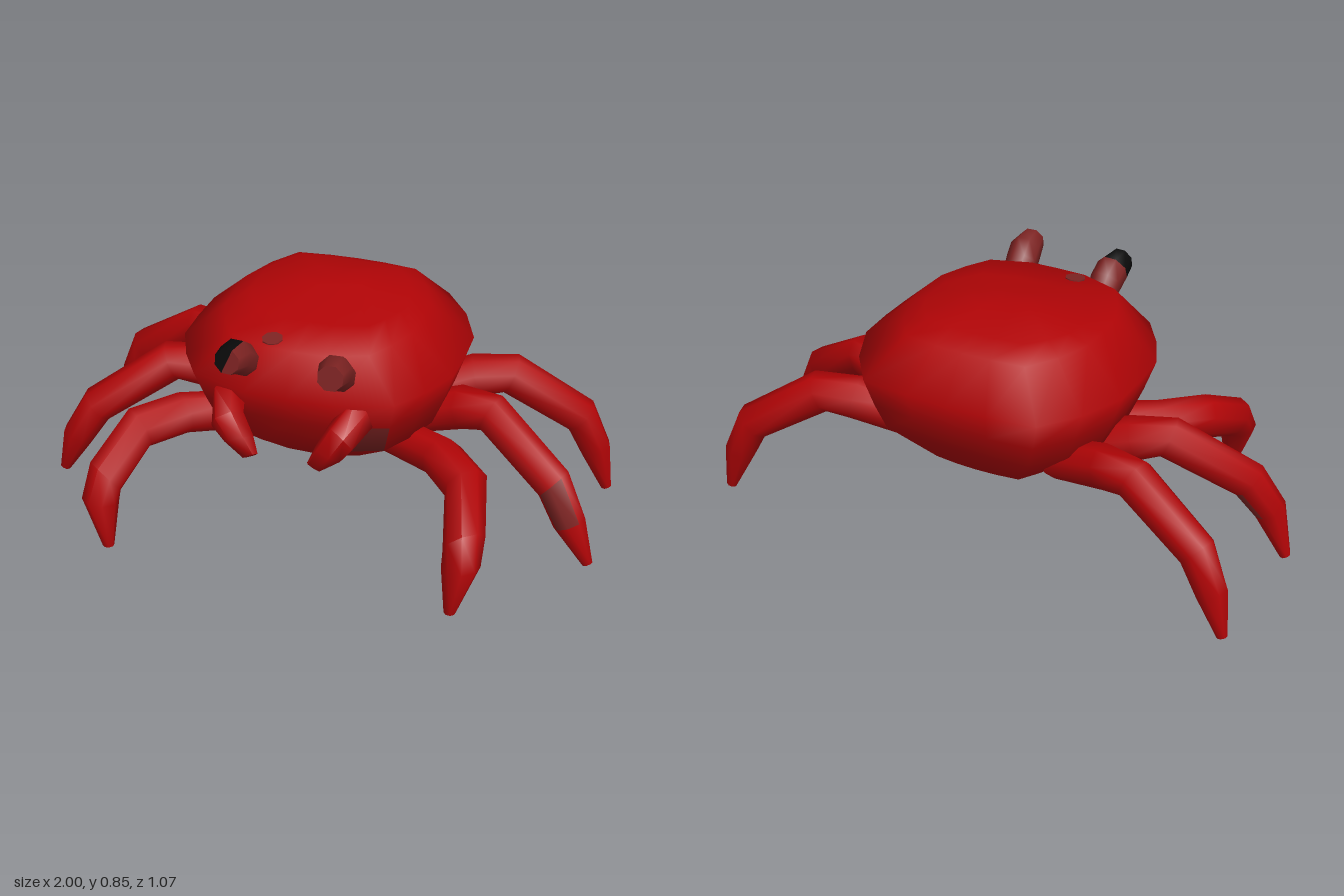
import * as THREE from 'three';
import { toCreasedNormals } from 'three/addons/utils/BufferGeometryUtils.js';

const mat = (name, color) => Object.assign(new THREE.MeshStandardMaterial({ color }), { name });
const V = (x, y, z) => new THREE.Vector3(x, y, z);

// Skin a list of equal-length rings and close both ends.
// patch(i, j) picks faces that take the second material; i = last ring is the end cap.
function loft(rings, crease, patch = () => false) {
  const n = rings[0].length;
  const pts = rings.flat();
  const centre = ring => ring.reduce((a, p) => a.add(p), V(0, 0, 0)).divideScalar(n);
  const last = rings.length - 1;
  const c0 = pts.push(centre(rings[0])) - 1;
  const c1 = pts.push(centre(rings[last])) - 1;
  const main = [], extra = [];
  for (let j = 0; j < n; j++) {
    const k = (j + 1) % n;
    for (let i = 0; i < last; i++) {
      const a = i * n + j, b = i * n + k, c = a + n, d = b + n;
      (patch(i, j) ? extra : main).push(a, b, d, a, d, c);
    }
    main.push(c0, k, j);
    (patch(last, j) ? extra : main).push(c1, last * n + j, last * n + k);
  }
  const index = [...main, ...extra];
  // Turn the faces outward, whichever way the rings run
  let volume = 0;
  for (let t = 0; t < index.length; t += 3) {
    volume += pts[index[t]].dot(pts[index[t + 1]].clone().cross(pts[index[t + 2]]));
  }
  if (volume < 0) {
    for (let t = 0; t < index.length; t += 3) [index[t], index[t + 1]] = [index[t + 1], index[t]];
  }
  const geo = new THREE.BufferGeometry().setFromPoints(pts);
  geo.setIndex(index);
  geo.addGroup(0, main.length, 0);
  if (extra.length) geo.addGroup(main.length, extra.length, 1);
  return toCreasedNormals(geo, crease);
}

// Tapered limb through [x, y, z, radius] stations, mirrored by side
function limb(stations, side, sides = 8, patch) {
  const p = stations.map(([x, y, z]) => V(x * side, y, z));
  const flat = p[p.length - 1].clone().sub(p[0]).setY(0).normalize();
  const across = flat.clone().cross(V(0, 1, 0));
  const rings = p.map((c, i) => {
    const t = p[Math.min(i + 1, p.length - 1)].clone().sub(p[Math.max(i - 1, 0)]).normalize();
    const up = across.clone().cross(t).normalize();
    const r = stations[i][3];
    return Array.from({ length: sides }, (_, j) => {
      const a = (j + 0.5) / sides * Math.PI * 2;
      return c.clone().addScaledVector(across, r * Math.cos(a)).addScaledVector(up, r * Math.sin(a));
    });
  });
  return loft(rings, 1.1, patch);
}

// Half of the shell outline seen from above, front to back, as unit x and z
const HALF = [[0, 1], [0.31, 0.99], [0.72, 0.85], [0.87, 0.6], [0.99, 0.31], [1, 0],
  [0.99, -0.31], [0.85, -0.66], [0.65, -0.95], [0.3, -0.99], [0, -1]];
const OUTLINE = [...HALF, ...HALF.slice(1, -1).reverse().map(([x, z]) => [-x, z])];

// Shell rings: half width, back z, front z, back y, front y
const SHELL = [
  [0.10, -0.22, -0.05, 0.25, 0.255],
  [0.24, -0.34, 0.13, 0.30, 0.305],
  [0.405, -0.49, 0.26, 0.47, 0.405],
  [0.45, -0.515, 0.315, 0.56, 0.53],
  [0.485, -0.54, 0.36, 0.66, 0.64],
  [0.335, -0.42, 0.28, 0.795, 0.776],
  [0.27, -0.34, 0.11, 0.828, 0.80],
  [0.11, -0.20, -0.07, 0.855, 0.852],
];

const LEGS = {
  frontLeg: [[0.22, 0.37, 0.0, 0.07], [0.47, 0.37, 0.12, 0.074], [0.585, 0.355, 0.24, 0.077],
    [0.633, 0.26, 0.43, 0.073], [0.636, 0.195, 0.473, 0.064], [0.61, 0.02, 0.49, 0.02]],
  middleLeg: [[0.28, 0.37, -0.13, 0.07], [0.48, 0.44, -0.115, 0.077], [0.59, 0.455, -0.08, 0.072],
    [0.84, 0.29, 0.035, 0.067], [0.91, 0.17, 0.073, 0.057], [0.98, 0.01, 0.06, 0.019]],
  hindLeg: [[0.26, 0.38, -0.26, 0.07], [0.47, 0.45, -0.33, 0.077], [0.59, 0.46, -0.365, 0.073],
    [0.84, 0.30, -0.427, 0.067], [0.90, 0.17, -0.438, 0.056], [0.95, 0.01, -0.445, 0.019]],
};
const CLAW = [[0.23, 0.585, 0.27, 0.065], [0.195, 0.545, 0.385, 0.058],
  [0.155, 0.48, 0.39, 0.05], [0.11, 0.43, 0.405, 0.026]];
const STALK = [[0.165, 0.71, 0.28, 0.05], [0.165, 0.745, 0.325, 0.058],
  [0.17, 0.775, 0.365, 0.058], [0.175, 0.785, 0.427, 0.045]];

export function createModel() {
  const crab = new THREE.Group();
  crab.name = 'crab';
  const red = mat('shell red', 0xb00406);
  const dull = mat('dull brown red', 0x7d2322);
  const black = mat('eye black', 0x0a0a0a);
  const add = (name, geo, material) => {
    const mesh = new THREE.Mesh(geo, material);
    mesh.name = name;
    crab.add(mesh);
  };

  // Shell, with dull patches below the left claw and on the left of the belly
  const rings = SHELL.map(([w, zb, zf, yb, yf]) => OUTLINE.map(([x, z]) => {
    const k = (z + 1) / 2;
    return V(x * w, yb + (yf - yb) * k, zb + (zf - zb) * k);
  }));
  const shellPatch = (i, j) => (i === 2 && j === 1) || (i === 0 && j === 5);
  add('shell', loft(rings, Math.PI, shellPatch), [red, dull]);

  // Dull spot on the forehead
  const spot = new THREE.CylinderGeometry(0.036, 0.036, 0.008, 8);
  spot.rotateX(0.14);
  spot.translate(-0.09, 0.7825, 0.23);
  add('forehead spot', spot, dull);

  for (const side of [1, -1]) {
    const label = side > 0 ? 'left' : 'right';

    // Walking legs; the middle pair has a dull patch, in front on the left, inside on the right
    for (const [name, stations] of Object.entries(LEGS)) {
      const patched = name === 'middleLeg';
      const faces = side > 0 ? [7, 0] : [5, 6];
      const patch = patched ? (i, j) => i === 3 && faces.includes(j) : undefined;
      add(label + ' ' + name, limb(stations, side, 8, patch), patched ? [red, dull] : red);
    }

    // Small claws under the face
    add(label + ' claw', limb(CLAW, side, 6), red);

    // Eye stalks; only the right one has a black pupil, on its outer half and end
    const pupil = (i, j) => side < 0 && i >= 2 && (j <= 1 || j >= 6);
    add(label + ' eyeStalk', limb(STALK, side, 8, pupil), [dull, black]);
  }
  return crab;
}
